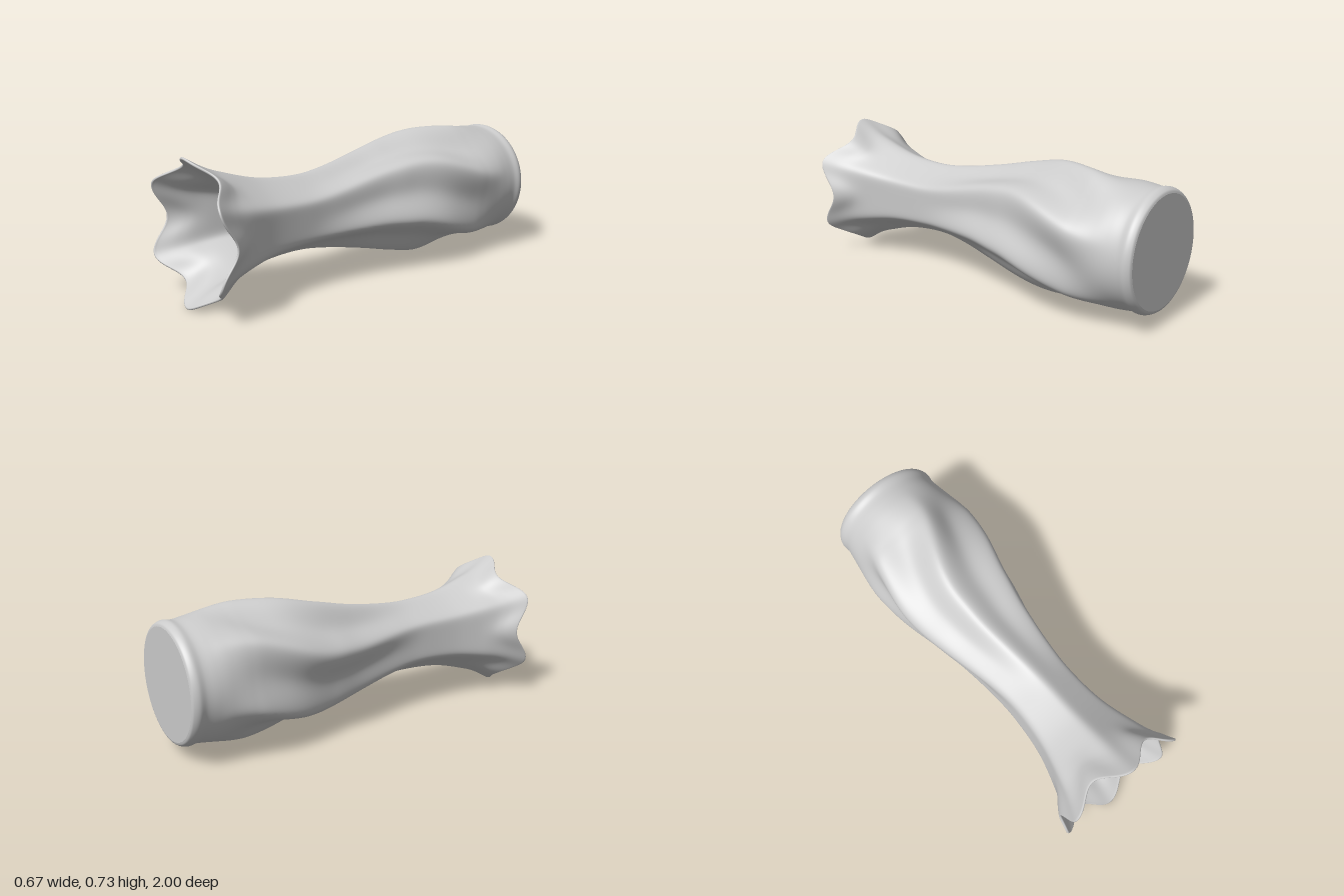
import * as THREE from 'three';

const CENTER_Y = 0.367, WALL = 0.013, SEGMENTS = 180, ROWS = 130, FLOOR_Z = -0.95;
const ss = THREE.MathUtils.smoothstep;
const rad = THREE.MathUtils.degToRad;

// Ridge radius along the axis, from base (z = -1) to mouth (z = 1)
const profile = new THREE.SplineCurve([
  [-1, 0.278], [-0.992, 0.293], [-0.965, 0.304], [-0.925, 0.299], [-0.87, 0.306],
  [-0.8, 0.319], [-0.7, 0.336], [-0.6, 0.344], [-0.4, 0.337], [-0.2, 0.299], [0, 0.25],
  [0.2, 0.211], [0.38, 0.196], [0.6, 0.215], [0.8, 0.272], [0.9, 0.312], [1 - WALL / 2, 0.366],
].map(([z, r]) => new THREE.Vector2(z, r)));

// Swing of the six ridges around the axis
const twist = z => rad(-14 + 27 * ss(z, -0.8, -0.2) - 15 * ss(z, -0.1, 0.45));

// Rounded hexagon with a corner radius of 1 and corners at 30, 90, ... degrees
function hexagon(a) {
  let sum = 0;
  for (let k = 0; k < 6; k++) sum += Math.max(0, Math.cos(a - k * Math.PI / 3)) ** 17;
  return sum ** (-1 / 17) / 1.1085;
}

// One point of the wall; the section goes from round base to fluted body to hexagonal mouth
function wallPoint({ z, r, inset, lift }, theta) {
  const a = theta - twist(z);
  const valley = (1 + Math.cos(6 * a)) / 2;
  const hex = THREE.MathUtils.lerp(1, hexagon(a), ss(z, -0.9, -0.6));
  const flute = 0.085 * ss(z, -0.88, -0.5) * (1 - ss(z, -0.1, 0.45));
  const radius = r * hex * (1 - flute * valley) - inset;
  const scallop = 0.083 * valley * ss(z, 0.72, 1);
  return [radius * Math.cos(theta), radius * Math.sin(theta), z + lift - scallop];
}

function wallGeometry() {
  const rows = [];
  // outside
  for (let i = 0; i <= ROWS; i++) {
    const p = profile.getPoint(i / ROWS);
    rows.push({ z: p.x, r: p.y, inset: 0, lift: 0 });
  }
  const outside = rows.slice();
  const lip = rows[ROWS];
  // rounded lip
  for (let i = 1; i < 6; i++) {
    const a = i * Math.PI / 6;
    rows.push({ ...lip, inset: WALL / 2 * (1 - Math.cos(a)), lift: WALL / 2 * Math.sin(a) });
  }
  // inside, back down to the floor
  for (const row of outside.reverse()) {
    if (row.z >= FLOOR_Z) rows.push({ ...row, inset: WALL });
  }

  const positions = [], index = [];
  rows.forEach((row, i) => {
    for (let j = 0; j < SEGMENTS; j++) {
      positions.push(...wallPoint(row, j / SEGMENTS * Math.PI * 2));
      if (i === 0) continue;
      const k = (j + 1) % SEGMENTS, lo = (i - 1) * SEGMENTS, hi = i * SEGMENTS;
      index.push(lo + j, lo + k, hi + k, lo + j, hi + k, hi + j);
    }
  });
  const geometry = new THREE.BufferGeometry();
  geometry.setAttribute('position', new THREE.Float32BufferAttribute(positions, 3));
  geometry.setIndex(index);
  geometry.computeVertexNormals();
  return geometry;
}

export function createModel() {
  const group = new THREE.Group();
  group.name = 'twistedVase';
  const material = new THREE.MeshStandardMaterial({ color: 0xcccccc });
  const add = (name, geometry, z = 0) => {
    const mesh = new THREE.Mesh(geometry, material);
    mesh.name = name;
    mesh.position.set(0, CENTER_Y, z);
    group.add(mesh);
    return mesh;
  };

  add('vaseWall', wallGeometry());
  add('baseDisc', new THREE.CircleGeometry(0.278, SEGMENTS), -1).rotation.y = Math.PI;
  add('innerFloor', new THREE.CircleGeometry(0.291, SEGMENTS), FLOOR_Z + 0.005);
  return group;
}
